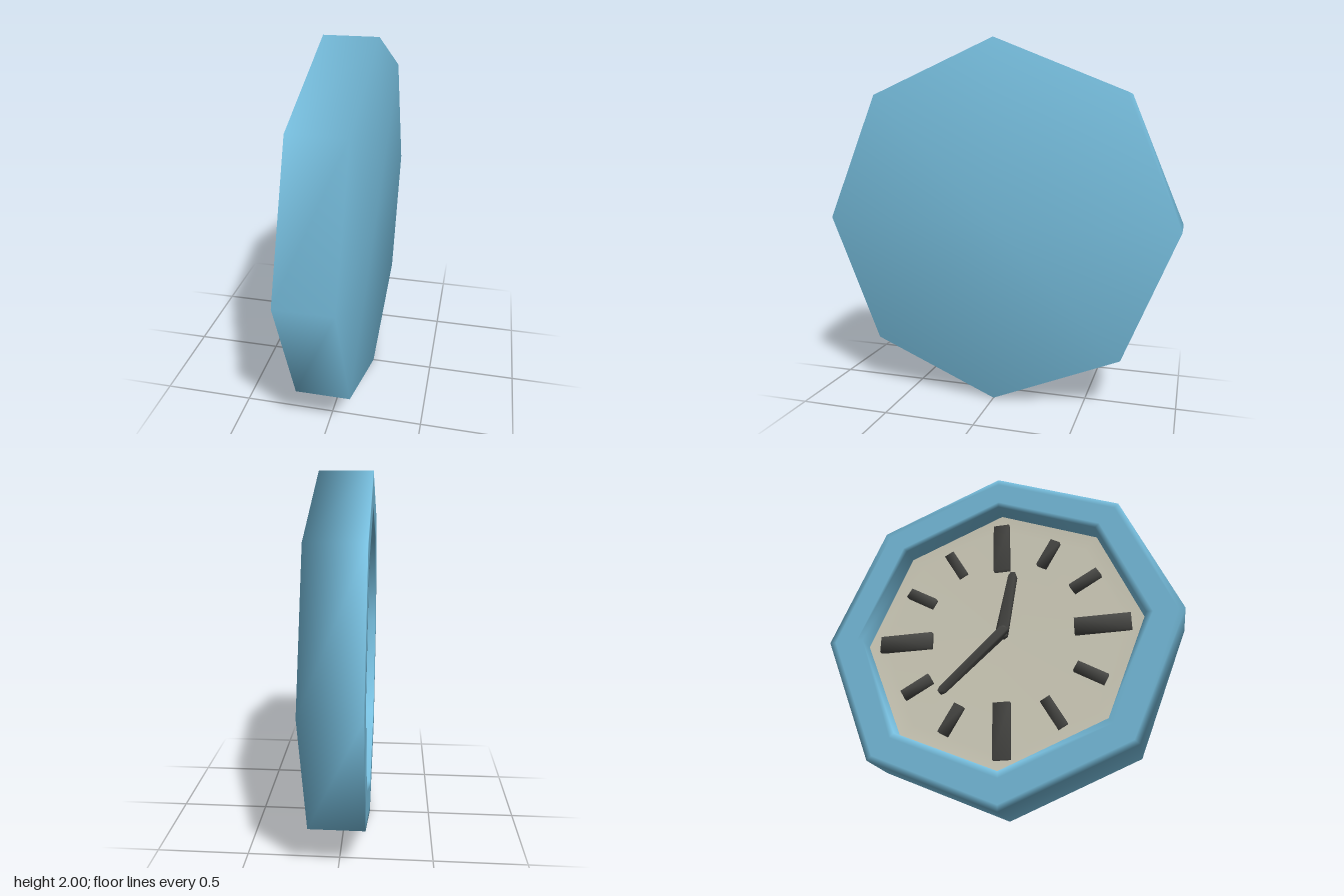
import * as THREE from 'three';
import { mergeVertices } from 'three/addons/utils/BufferGeometryUtils.js';

const mat = (name, color) => {
  const m = new THREE.MeshStandardMaterial({ color });
  m.name = name;
  return m;
};

// Share corners so that shading runs smoothly around a solid
function soften(geo) {
  geo.deleteAttribute('normal');
  geo.deleteAttribute('uv');
  const g = mergeVertices(geo);
  g.computeVertexNormals();
  return g;
}

// Eight-sided turned solid whose axis points to the clock's front
function octagon(profile) {
  const geo = new THREE.LatheGeometry(profile.map(([r, d]) => new THREE.Vector2(r, d)), 8);
  geo.normalizeNormals();
  return geo.rotateX(Math.PI / 2);
}

export function createModel() {
  const blue = mat('frame blue', 0x78c0e0);
  const cream = mat('dial cream', 0xd9d6c3);
  const dark = mat('marking grey', 0x4a4a47);

  const model = new THREE.Group();
  model.name = 'wallClock';
  // The clock is built facing +z, then turned so the dial faces -x
  const clock = new THREE.Group();
  clock.name = 'clock';
  clock.position.y = 1;
  clock.rotation.y = -Math.PI / 2;
  model.add(clock);

  const add = (name, geo, material) => {
    const mesh = new THREE.Mesh(geo, material);
    mesh.name = name;
    clock.add(mesh);
    return mesh;
  };

  // Frame: closed back, outer wall, flat rim and recess wall
  add('frame', octagon([
    [0, -0.145], [1, -0.145], [1, 0.145], [0.965, 0.145],
    [0.835, 0.145], [0.8, 0.145], [0.8, 0.03],
  ]), blue);

  // Slightly dished dial
  const dialZ = 0.04;
  add('dial', octagon([[0.8, dialZ], [0.7, dialZ - 0.006], [0, dialZ - 0.01]]), cream);

  // Hour marks, longer and wider at each quarter
  for (let i = 0; i < 12; i++) {
    const quarter = i % 3 === 0;
    const [inner, outer, width] = quarter ? [0.41, 0.72, 0.095] : [0.47, 0.65, 0.06];
    const geo = soften(new THREE.BoxGeometry(width, outer - inner, 0.05));
    geo.translate(0, (inner + outer) / 2, dialZ);
    const mark = add(quarter ? 'quarterMark' : 'hourMark', geo, dark);
    mark.rotation.z = -i * Math.PI / 6;
  }

  // Tapered hands with clipped tips
  function hand(name, length, tail, width, z, angle) {
    const b = width / 2, t = b * 0.7;
    const shape = new THREE.Shape([
      [-b * 0.5, -tail], [b * 0.5, -tail], [b, -tail + 0.02], [t, length - 0.025],
      [t * 0.5, length], [-t * 0.5, length], [-t, length - 0.025], [-b, -tail + 0.02],
    ].map(([x, y]) => new THREE.Vector2(x, y)));
    const geo = soften(new THREE.ExtrudeGeometry(shape, { depth: 0.03, bevelEnabled: false }));
    const mesh = add(name, geo, dark);
    mesh.position.z = z;
    mesh.rotation.z = -angle;
  }
  hand('hourHand', 0.39, 0.03, 0.07, dialZ - 0.004, 0.18);
  hand('minuteHand', 0.48, 0.04, 0.06, dialZ + 0.006, 3.96);

  return model;
}
